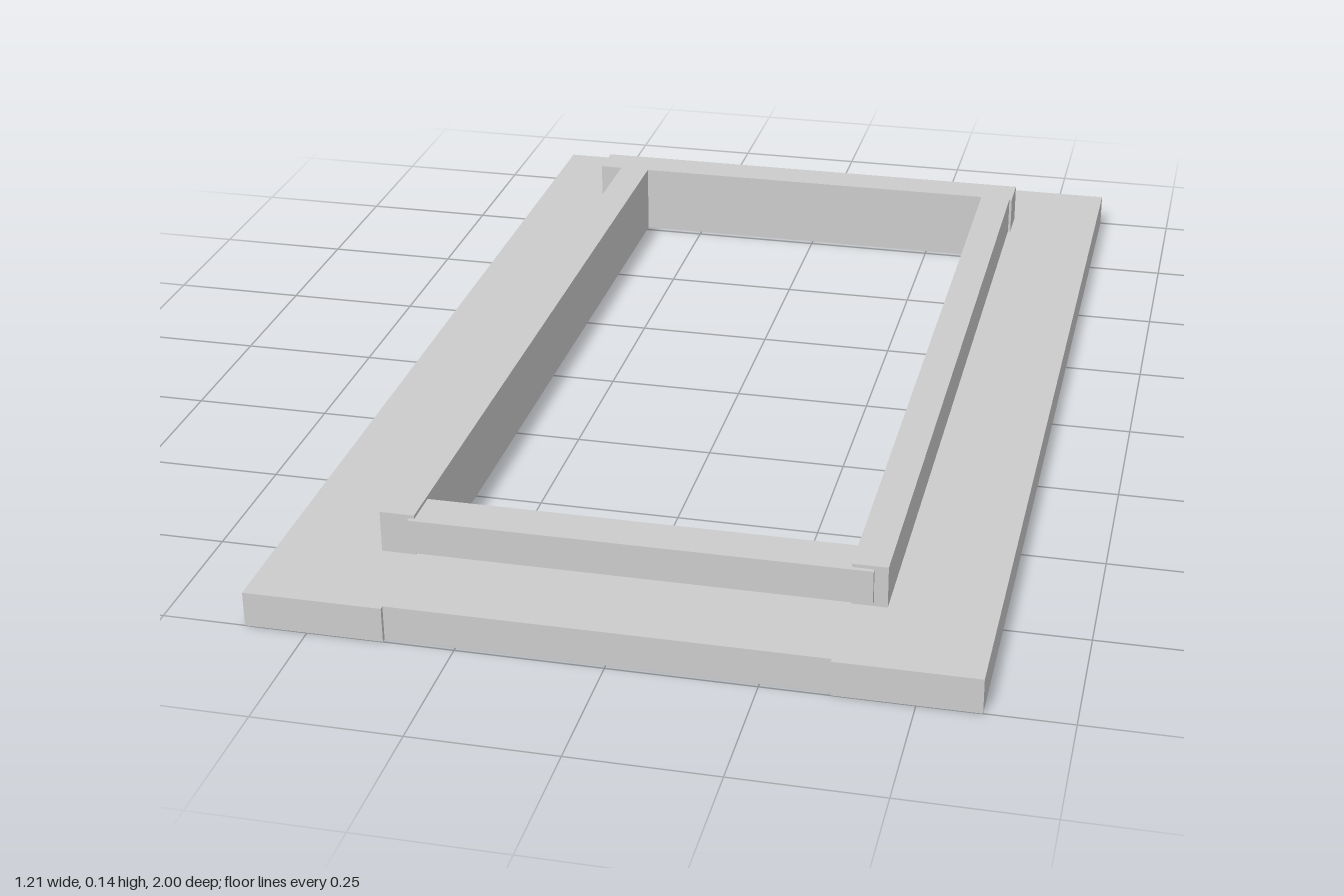
import * as THREE from 'three';

const material = new THREE.MeshStandardMaterial({ color: 0xcccccc, flatShading: true });

// Box given by its [min, max] extent on each axis
function plank(name, [x0, x1], [y0, y1], [z0, z1]) {
  const geometry = new THREE.BoxGeometry(x1 - x0, y1 - y0, z1 - z0);
  const mesh = new THREE.Mesh(geometry, material);
  mesh.name = name;
  mesh.position.set((x0 + x1) / 2, (y0 + y1) / 2, (z0 + z1) / 2);
  return mesh;
}

export function createModel() {
  const model = new THREE.Group();
  model.name = 'windowFrame';

  // Flat base frame: two long boards with shorter boards between them
  const base = new THREE.Group();
  base.name = 'baseFrame';
  const baseY = [0, 0.062];
  base.add(
    plank('rightBoard', [-0.607, -0.37], baseY, [-1, 1]),
    plank('leftBoard', [0.365, 0.605], baseY, [-1, 1]),
    plank('backBoard', [-0.37, 0.365], baseY, [-0.996, -0.763]),
    plank('frontBoard', [-0.37, 0.365], baseY, [0.752, 0.992]),
  );

  // Raised rim around the opening; the front rail sits slightly clear of the base
  const rim = new THREE.Group();
  rim.name = 'raisedRim';
  const rimY = [0.062, 0.136];
  rim.add(
    plank('rightRail', [-0.43, -0.37], rimY, [-0.763, 0.822]),
    plank('leftRail', [0.365, 0.425], rimY, [-0.763, 0.822]),
    plank('backRail', [-0.474, 0.43], rimY, [-0.837, -0.763]),
    plank('frontRail', [-0.38, 0.402], [0.069, 0.13], [0.752, 0.83]),
  );

  model.add(base, rim);
  return model;
}
